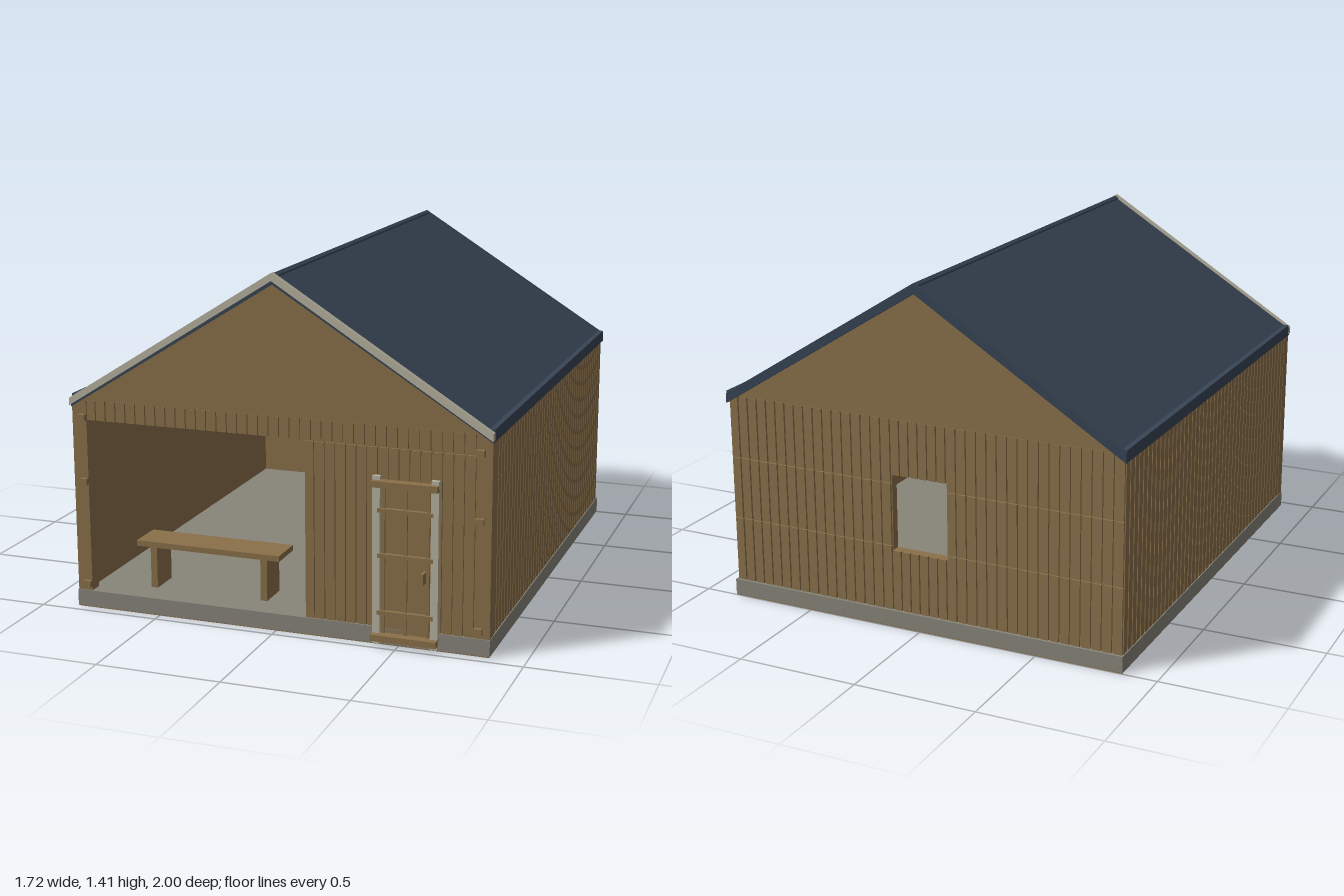
import * as THREE from 'three';
import { mergeGeometries } from 'three/addons/utils/BufferGeometryUtils.js';

const flat = (name, color) => {
  const m = new THREE.MeshStandardMaterial({ color });
  m.name = name;
  return m;
};

// Box geometry given by its limits on each axis
function block(x0, x1, y0, y1, z0, z1) {
  return new THREE.BoxGeometry(x1 - x0, y1 - y0, z1 - z0)
    .translate((x0 + x1) / 2, (y0 + y1) / 2, (z0 + z1) / 2);
}

// Row of evenly spaced boards with narrow grooves; make(a, b) builds one board
function boards(from, to, make) {
  const n = Math.max(1, Math.round((to - from) / 0.043));
  const step = (to - from) / n;
  const out = [];
  for (let i = 0; i < n; i++) out.push(make(from + i * step + 0.004, from + (i + 1) * step - 0.004));
  return out;
}

// Prism with a constant section in x and y, running from z0 to z1
function prism(points, z0, z1) {
  const shape = new THREE.Shape(points.map(([x, y]) => new THREE.Vector2(x, y)));
  return new THREE.ExtrudeGeometry(shape, { depth: z1 - z0, bevelEnabled: false }).translate(0, 0, z0);
}

// Inverted V following the roof pitch
function chevron(halfWidth, eave, ridge, thick, z0, z1) {
  return prism([[-halfWidth, eave], [-halfWidth, eave - thick], [0, ridge - thick],
    [halfWidth, eave - thick], [halfWidth, eave], [0, ridge]], z0, z1);
}

export function createModel() {
  const wood = flat('brown wood', 0x8a704a);
  const stone = flat('grey concrete', 0x88857a);
  const roofing = flat('slate blue roofing', 0x384555);
  const trim = flat('pale trim', 0xb8b3a0);

  const house = new THREE.Group();
  house.name = 'gardenHouse';
  function add(name, material, geometries, parent = house) {
    const mesh = new THREE.Mesh(mergeGeometries(geometries), material);
    mesh.name = name;
    parent.add(mesh);
  }

  // Slab and the timber edging under it
  add('foundation', stone, [block(-0.86, 0.86, 0.004, 0.07, -1, 0.96)]);
  add('baseEdging', wood, [
    block(-0.858, -0.83, 0, 0.004, -0.998, 0.958), block(0.83, 0.858, 0, 0.004, -0.998, 0.958),
    block(-0.83, 0.83, 0, 0.004, -0.998, -0.97), block(-0.83, 0.83, 0, 0.004, 0.93, 0.958),
  ]);

  // Side walls
  for (const s of [-1, 1]) {
    const side = (a, b, y0, y1, z0, z1) => block(Math.min(a * s, b * s), Math.max(a * s, b * s), y0, y1, z0, z1);
    const name = s > 0 ? 'left' : 'right';
    add(name + 'Wall', wood, [side(0.82, 0.847, 0.07, 0.86, -0.98, 0.945)]);
    add(name + 'WallBoards', wood, boards(-0.985, 0.95, (a, b) => side(0.847, 0.856, 0.07, 0.86, a, b)));
    // Front corner post and its rail ends
    add(name + 'CornerPost', wood, [side(0.797, 0.858, 0.07, 0.86, 0.9, 0.955)]);
    add(name + 'RailEnds', wood, [0.1, 0.528, 0.79].map(y => side(0.797, 0.83, y - 0.013, y + 0.013, 0.95, 0.972)));
  }

  // Back wall around the window opening, boarded in three courses
  add('backWall', wood, [
    block(-0.82, -0.12, 0.07, 0.86, -0.98, -0.945), block(0.12, 0.82, 0.07, 0.86, -0.98, -0.945),
    block(-0.12, 0.12, 0.07, 0.32, -0.98, -0.945), block(-0.12, 0.12, 0.635, 0.86, -0.98, -0.945),
  ]);
  const backBoards = [];
  for (const [y0, y1] of [[0.07, 0.338], [0.342, 0.598], [0.602, 0.86]]) {
    const row = (x0, x1, lo, hi) => {
      if (hi > lo) backBoards.push(...boards(x0, x1, (a, b) => block(a, b, lo, hi, -0.989, -0.98)));
    };
    row(-0.856, -0.12, y0, y1);
    row(0.12, 0.856, y0, y1);
    row(-0.12, 0.12, y0, Math.min(y1, 0.32));
    row(-0.12, 0.12, Math.max(y0, 0.635), y1);
  }
  add('backWallBoards', wood, backBoards);

  // Front: closed bay beside the open porch, and the boarded beam above both
  add('frontWall', wood, [block(0.12, 0.797, 0.07, 0.78, 0.91, 0.945)]);
  add('frontWallBoards', wood, boards(0.12, 0.797, (a, b) => block(a, b, 0.07, 0.775, 0.945, 0.954)));
  add('frontBeam', wood, [block(-0.797, 0.797, 0.78, 0.86, 0.91, 0.948)]);
  add('frontBeamBoards', wood, boards(-0.797, 0.797, (a, b) => block(a, b, 0.78, 0.86, 0.948, 0.957)));

  // Ceiling and gables
  add('ceiling', wood, [block(-0.82, 0.82, 0.84, 0.858, -0.945, 0.91)]);
  const gable = [[-0.85, 0.858], [0.85, 0.858], [0, 1.385]];
  add('frontGable', wood, [prism(gable, 0.93, 0.955)]);
  add('backGable', wood, [prism(gable, -0.986, -0.96)]);

  // Roof with ridge cap, eave strips and verge trims
  add('roof', roofing, [chevron(0.86, 0.865, 1.4, 0.035, -0.99, 0.96)]);
  add('ridgeCap', roofing, [chevron(0.014, 1.398, 1.407, 0.02, -0.995, 0.945)]);
  add('eaveStrips', roofing, [-1, 1].map(s =>
    block(s * 0.851 - 0.011, s * 0.851 + 0.011, 0.845, 0.88, -0.995, 0.945)));
  add('backVerge', roofing, [chevron(0.862, 0.87, 1.407, 0.04, -1, -0.985)]);
  add('frontVerge', trim, [chevron(0.862, 0.868, 1.41, 0.03, 0.945, 0.97)]);

  // Door with pale jambs, glazing-style bars and a step
  const door = new THREE.Group();
  door.name = 'door';
  house.add(door);
  add('doorPanel', wood, [block(0.43, 0.63, 0.05, 0.63, 0.95, 0.96)], door);
  add('doorJambs', trim, [block(0.4, 0.43, 0.008, 0.67, 0.95, 0.974), block(0.63, 0.66, 0.008, 0.67, 0.95, 0.974)], door);
  add('doorUprights', wood, [0.442, 0.53, 0.618].map(x => block(x - 0.006, x + 0.006, 0.05, 0.63, 0.958, 0.968)), door);
  add('doorRails', wood, [0.133, 0.36, 0.538].map(y => block(0.42, 0.64, y - 0.008, y + 0.008, 0.958, 0.977)), door);
  add('doorHead', wood, [block(0.4, 0.66, 0.63, 0.655, 0.955, 0.992)], door);
  add('doorStep', wood, [block(0.4, 0.66, 0.025, 0.05, 0.955, 1)], door);
  add('doorHandle', wood, [block(0.6, 0.61, 0.268, 0.312, 0.96, 1)], door);

  // Porch bench
  const bench = new THREE.Group();
  bench.name = 'bench';
  house.add(bench);
  add('benchSeat', wood, [block(-0.645, -0.028, 0.243, 0.266, 0.7, 0.85)], bench);
  add('benchLegs', wood, [block(-0.59, -0.562, 0.07, 0.243, 0.71, 0.84), block(-0.112, -0.084, 0.07, 0.243, 0.71, 0.84)], bench);

  return house;
}
